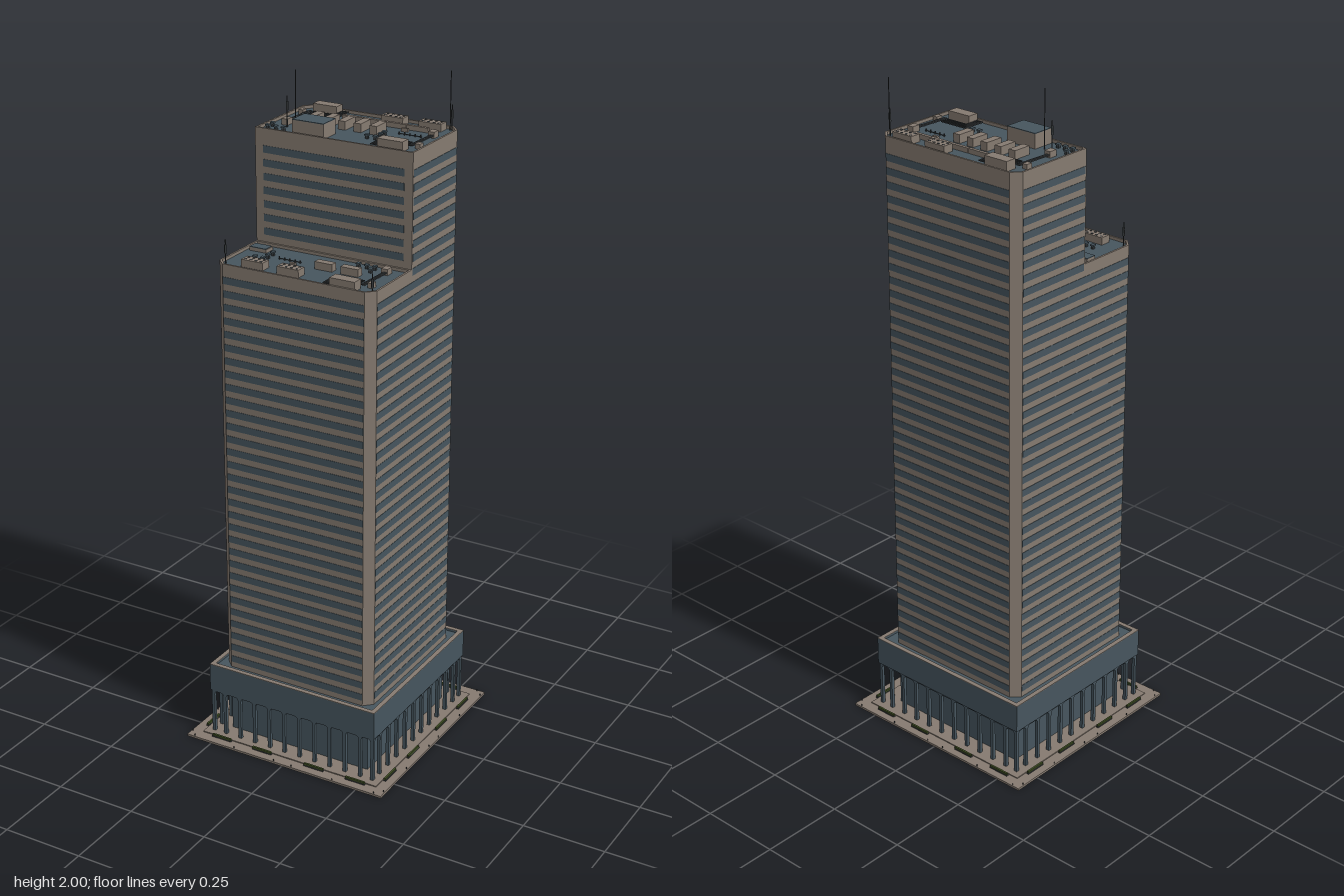
import * as THREE from 'three';

const mat = (name, color) => Object.assign(new THREE.MeshStandardMaterial({ color }), { name });

export function createModel() {
  const stone = mat('warm stone', 0x857a70);
  const glass = mat('blue grey glass', 0x46555e);
  const green = mat('hedge green', 0x3c4a22);
  const dark = mat('dark metal', 0x363a3c);
  const model = new THREE.Group();

  const add = (name, geo, material, parent = model) => {
    const m = new THREE.Mesh(geo, material);
    m.name = name;
    parent.add(m);
    return m;
  };
  // Box given by centre x/z, bottom y and sizes
  const box = (name, material, x, y, z, w, h, d, parent = model) => {
    const m = add(name, new THREE.BoxGeometry(w, h, d), material, parent);
    m.position.set(x, y + h / 2, z);
    return m;
  };
  const rod = (name, x, y, z, r, h) =>
    add(name, new THREE.CylinderGeometry(r, r, h, 6), dark).position.set(x, y + h / 2, z);
  // Plan outlines: points are [x, z]
  const plan = (pts) => pts.map(([x, z]) => new THREE.Vector2(x, -z));
  const slab = (name, material, pts, y, h, hole) => {
    const s = new THREE.Shape(plan(pts));
    if (hole) s.holes.push(new THREE.Path(plan(hole)));
    const g = new THREE.ExtrudeGeometry(s, { depth: h, bevelEnabled: false });
    g.rotateX(-Math.PI / 2);
    return (add(name, g, material).position.y = y);
  };
  const square = (r) => [[-r, r], [r, r], [r, -r], [-r, -r]];

  // Ground plate, plinth, hedges and bollards
  box('groundPlate', stone, 0, 0, 0, 0.67, 0.007, 0.67);
  box('plinth', stone, 0, 0.007, 0, 0.6, 0.003, 0.6);
  const hedge = (x, z, alongX) => {
    const [w, d] = alongX ? [0.067, 0.008] : [0.008, 0.067];
    box('planter', dark, x, 0.007, z, w, 0.003, d);
    box('hedge', green, x, 0.01, z, w - 0.002, 0.006, d - 0.002);
  };
  for (const t of [-0.236, -0.094, 0.085, 0.226]) {
    hedge(t, -0.308, true);
    hedge(0.306, t, false);
    hedge(t + 0.007, 0.305, true);
    hedge(-0.307, t + 0.007, false);
  }
  for (const t of [-0.31, -0.17, -0.03, 0.03, 0.17, 0.31])
    for (const s of [-0.331, 0.331]) {
      rod('bollard', t, 0.007, s, 0.0012, 0.006);
      rod('bollard', s, 0.007, t, 0.0012, 0.006);
    }

  // Podium: glazed core, arcade on four sides, band and coping
  box('podiumCore', glass, 0, 0.01, 0, 0.47, 0.145, 0.47);
  const piers = [-0.274];
  for (let k = 0; k < 10; k++) piers.push(-0.233 + 0.0518 * k);
  piers.push(0.274);
  const arcade = new THREE.Shape();
  const half = 0.005, top = 0.147, r = 0.01;
  arcade.moveTo(-0.279, 0.155);
  arcade.lineTo(-0.279, 0.01);
  for (let i = 0; i < piers.length - 1; i++) {
    const a = piers[i] + half, b = piers[i + 1] - half;
    arcade.lineTo(a, 0.01);
    arcade.lineTo(a, top - r);
    arcade.quadraticCurveTo(a, top, a + r, top);
    arcade.lineTo(b - r, top);
    arcade.quadraticCurveTo(b, top, b, top - r);
    arcade.lineTo(b, 0.01);
  }
  arcade.lineTo(0.279, 0.01);
  arcade.lineTo(0.279, 0.155);
  const arcadeGeo = new THREE.ExtrudeGeometry(arcade, { depth: 0.01, bevelEnabled: false, curveSegments: 4 });
  arcadeGeo.translate(0, 0, 0.269);
  for (let i = 0; i < 4; i++) add('arcade', arcadeGeo, glass).rotation.y = i * Math.PI / 2;
  box('podiumBand', glass, 0, 0.152, 0, 0.564, 0.08, 0.564);
  slab('podiumParapet', glass, square(0.282), 0.232, 0.006, square(0.268));
  slab('podiumCoping', stone, square(0.282), 0.238, 0.002, square(0.268));

  // Tower: two blocks, each with two chamfered outer corners
  const SPLIT = 0.032;
  const outline = (inset, dir, split) => {
    const e = 0.25 - inset, c = 0.025 - 0.586 * inset, s = split + dir * inset;
    const pts = [[-e, s], [-e, dir * (e - c)], [-e + c, dir * e], [e - c, dir * e], [e, dir * (e - c)], [e, s]];
    return dir > 0 ? pts : pts.reverse();
  };
  const block = (name, dir, height) => {
    slab(name + 'Body', stone, outline(0, dir, SPLIT), 0.23, height - 0.012 - 0.23);
    slab(name + 'RoofDeck', glass, outline(0.005, dir, SPLIT), height - 0.013, 0.004);
    slab(name + 'Parapet', stone, outline(0, dir, SPLIT), height - 0.012, 0.012, outline(0.006, dir, SPLIT));
  };
  const LOW = 1.508, HIGH = 1.84;
  block('frontTower', 1, LOW);
  block('backTower', -1, HIGH);

  // Ribbon windows on every floor
  const H = 0.021, T = 0.004;
  for (let k = 0; k < 39; k++) {
    const y = 1.78 - 0.04 * k - H / 2;
    const tall = y > 1.48;
    const zf = tall ? SPLIT - 0.004 : 0.224, mid = (zf - 0.224) / 2;
    box('backWindows', glass, 0, y, -0.249, 0.448, H, T);
    if (y > 1.5 || !tall) box('frontWindows', glass, 0, y, tall ? SPLIT - 0.001 : 0.249, 0.448, H, T);
    for (const s of [-1, 1]) box('sideWindows', glass, s * 0.249, y, mid, T, H, zf + 0.224);
  }

  // Rooftop equipment
  const R1 = HIGH - 0.009, R0 = LOW - 0.009;
  const fanUnit = (x, y, z) => {
    box('coolingUnit', stone, x, y, z, 0.07, 0.022, 0.033);
    for (let i = 0; i < 4; i++)
      for (const s of [-1, 1])
        rod('coolingFan', x - 0.025 + i * 0.0167, y + 0.021, z + s * 0.008, 0.004, 0.002);
  };
  const vents = (y, list) => {
    for (const [x, z] of list) {
      box('ventBase', dark, x, y, z, 0.008, 0.009, 0.008);
      box('ventCap', glass, x, y + 0.009, z, 0.012, 0.004, 0.012);
    }
  };
  const valves = (y, x, z) => {
    for (let i = 0; i < 5; i++) rod('valve', x + i * 0.017, y, z, 0.002, 0.008);
    box('valvePipe', dark, x + 0.034, y + 0.002, z, 0.075, 0.0015, 0.0015);
  };
  // Air handler with nested bent pipes
  const handler = (x, y, z, turn) => {
    const g = new THREE.Group();
    g.name = 'airHandler';
    g.position.set(x, y, z);
    g.rotation.y = turn;
    model.add(g);
    box('handlerBody', stone, 0, 0, 0, 0.078, 0.028, 0.034, g);
    box('pumpBox', stone, 0.043, 0, -0.153, 0.02, 0.018, 0.026, g);
    box('valveBox', stone, 0.06, 0, -0.04, 0.016, 0.014, 0.02, g);
    const p = 0.0035;
    for (let i = 0; i < 4; i++) {
      const xl = -0.06 + 0.006 * i, z0 = 0.012 - 0.007 * i, z1 = -0.055 + 0.008 * i;
      box('pipe', dark, (xl - 0.036) / 2, 0.006, z0, -0.036 - xl + p, p, p, g);
      box('pipe', dark, xl, 0.006, (z0 + z1) / 2, p, p, z0 - z1 + p, g);
      box('pipe', dark, (xl + 0.03) / 2, 0.006, z1, 0.03 - xl, p, p, g);
    }
    for (let i = 0; i < 3; i++)
      box('riserPipe', dark, 0.039 + 0.004 * i, 0.006, -0.084, 0.003, p, 0.116, g).rotation.y = -0.04;
  };

  // Back (high) roof
  handler(0.169, R1, 0, 0);
  handler(-0.161, R1, -0.216, Math.PI);
  fanUnit(0.053, R1, -0.222);
  fanUnit(0.173, R1, -0.222);
  for (let i = 0; i < 5; i++) box('rooftopUnit', stone, -0.142 + 0.05 * i, R1, -0.118, 0.023, 0.025, 0.057);
  for (let i = 0; i < 4; i++) box('duct', stone, -0.059 + 0.069 * i, R1, -0.185, 0.067, 0.014, 0.01);
  box('smallBox', stone, 0.119, R1, -0.162, 0.02, 0.01, 0.008);
  box('liftHouse', stone, -0.086, R1, -0.013, 0.1, 0.042, 0.067);
  box('liftHouseRoof', glass, -0.086, R1 + 0.042, -0.013, 0.1, 0.002, 0.067);
  vents(R1, [[0.088, -0.1], [0.088, -0.077], [0.088, -0.05], [0.062, -0.05],
    [-0.226, -0.023], [-0.226, 0.003], [-0.2, 0.003], [-0.175, 0.003]]);
  valves(R1, 0.118, -0.13);

  // Front (low) roof
  handler(0.151, R0, 0.225, 0);
  fanUnit(-0.146, R0, 0.206);
  fanUnit(-0.032, R0, 0.206);
  for (const x of [0.031, 0.113]) box('rooftopUnit', stone, x, R0, 0.126, 0.055, 0.022, 0.022);
  box('smallBox', stone, -0.06, R0, 0.147, 0.018, 0.01, 0.009);
  box('hatchCurb', stone, -0.207, R0, 0.077, 0.055, 0.01, 0.035);
  box('hatch', glass, -0.208, R0 + 0.01, 0.078, 0.053, 0.002, 0.033);
  vents(R0, [[0.1, 0.062], [0.126, 0.062], [0.152, 0.062], [0.152, 0.087],
    [-0.153, 0.1], [-0.153, 0.127], [-0.153, 0.153], [-0.179, 0.153]]);
  valves(R0, -0.122, 0.117);

  // Antenna masts: thin whips and short thick ones
  for (const [x, z] of [[-0.155, -0.03], [0.222, -0.235]]) rod('whipAntenna', x, R1, z, 0.0013, 2 - R1);
  for (const [x, y, z, t] of [[-0.187, R1, -0.037, 1.9], [0.235, R1, -0.22, 1.89], [-0.23, R0, 0.225, 1.55], [0.23, R0, 0.215, 1.53]]) {
    rod('mast', x, y, z, 0.0015, t - y + 0.02);
    rod('mastHead', x, t - 0.02, z, 0.0035, 0.025);
  }
  return model;
}
